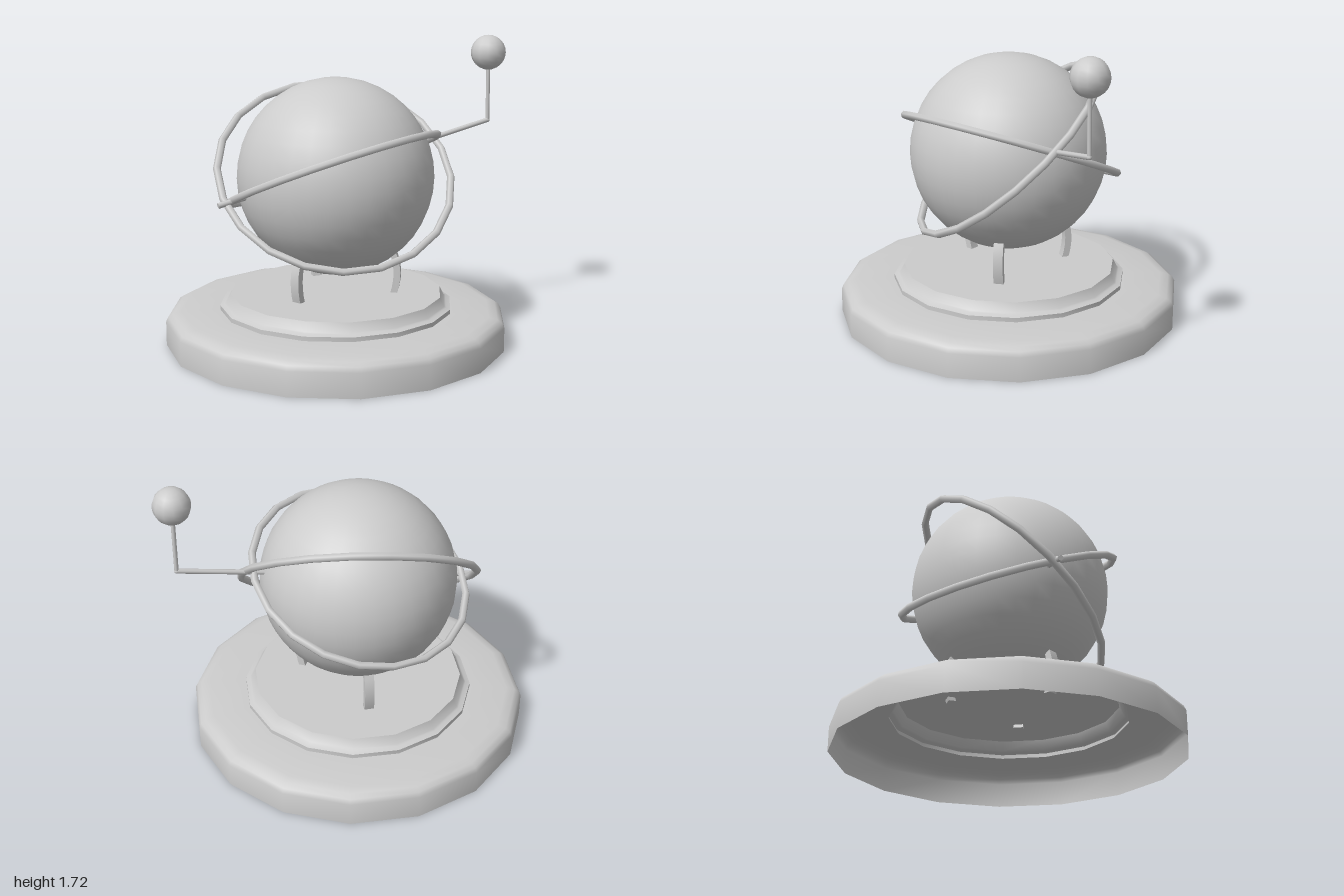
import * as THREE from 'three';
import { toCreasedNormals } from 'three/addons/utils/BufferGeometryUtils.js';

const CZ = 0.015; // centre line of stand and globe
const grey = new THREE.MeshStandardMaterial({ color: 0xcccccc });
const greyOpen = new THREE.MeshStandardMaterial({ color: 0xcccccc, side: THREE.DoubleSide });
const v = (x, y, z) => new THREE.Vector3(x, y, z);

export function createModel() {
  const model = new THREE.Group();
  const add = (name, geometry, material = grey) => {
    const mesh = new THREE.Mesh(geometry, material);
    mesh.name = name;
    model.add(mesh);
    return mesh;
  };

  // Straight round bar between two points
  const rod = (name, a, b, r) => {
    const mesh = add(name, new THREE.CylinderGeometry(r, r, a.distanceTo(b), 8));
    mesh.position.copy(a).lerp(b, 0.5);
    mesh.quaternion.setFromUnitVectors(v(0, 1, 0), b.clone().sub(a).normalize());
  };

  // Hollow sixteen-sided shell, open underneath
  const shell = (name, points) => {
    const profile = points.map(([r, y]) => new THREE.Vector2(r, y));
    const geometry = toCreasedNormals(new THREE.LatheGeometry(profile, 16), 0.72);
    add(name, geometry, greyOpen).position.z = CZ;
  };
  shell('base', [[0.98, 0], [0.98, 0.14], [0.967, 0.167], [0.94, 0.185], [0.89, 0.197], [0.66, 0.2]]);
  shell('plinth', [[0.67, 0.2], [0.67, 0.225], [0.645, 0.233], [0.635, 0.24], [0.61, 0.29], [0, 0.29]]);

  // Three curved legs, each a bowed strip extruded to its width
  const legShape = new THREE.Shape();
  legShape.moveTo(0.325, 0.27);
  legShape.quadraticCurveTo(0.375, 0.42, 0.315, 0.54);
  legShape.lineTo(0.28, 0.53);
  legShape.quadraticCurveTo(0.335, 0.42, 0.285, 0.27);
  const legGeometry = new THREE.ExtrudeGeometry(legShape, {
    depth: 0.055, bevelEnabled: false, curveSegments: 6,
  });
  legGeometry.translate(0, 0, -0.0275);
  legGeometry.rotateY(-Math.PI / 2); // radial direction becomes +z
  const legs = [['frontLeg', 0, -0.022, 0.02], ['leftLeg', 120, 0.016, -0.008], ['rightLeg', -120, -0.016, -0.008]];
  for (const [name, angle, x, z] of legs) {
    const leg = add(name, toCreasedNormals(legGeometry, 0.6));
    leg.rotation.y = THREE.MathUtils.degToRad(angle);
    leg.position.set(x, 0, z);
  }

  // Globe
  add('globe', new THREE.SphereGeometry(0.56, 32, 20)).position.set(0, 0.965, CZ + 0.005);

  // Two tilted rings, each set by the direction of its axis
  const ring = (name, radius, center, axis) => {
    const mesh = add(name, new THREE.TorusGeometry(radius, 0.022, 6, 20));
    mesh.position.copy(center);
    mesh.quaternion.setFromUnitVectors(v(0, 0, 1), axis.normalize());
  };
  ring('shallowRing', 0.628, v(-0.02, 0.997, 0.02), v(-0.397, 0.918, 0));
  ring('steepRing', 0.67, v(0.003, 0.983, 0.025), v(0.503, 0.748, 0.432));

  // Pin at the front crossing of the rings, arm at the rear crossing
  rod('frontPin', v(-0.32, 0.86, 0.655), v(-0.24, 0.895, 0.5), 0.016);
  const elbow = v(0.437, 1.21, -0.905);
  rod('arm', v(0.23, 1.11, -0.475), elbow, 0.014);
  rod('post', elbow, v(0.437, 1.55, -0.9), 0.012);
  add('elbow', new THREE.SphereGeometry(0.014, 8, 6)).position.copy(elbow);

  // Small satellite ball
  add('satellite', new THREE.SphereGeometry(0.103, 12, 12)).position.set(0.435, 1.615, -0.9);

  return model;
}
